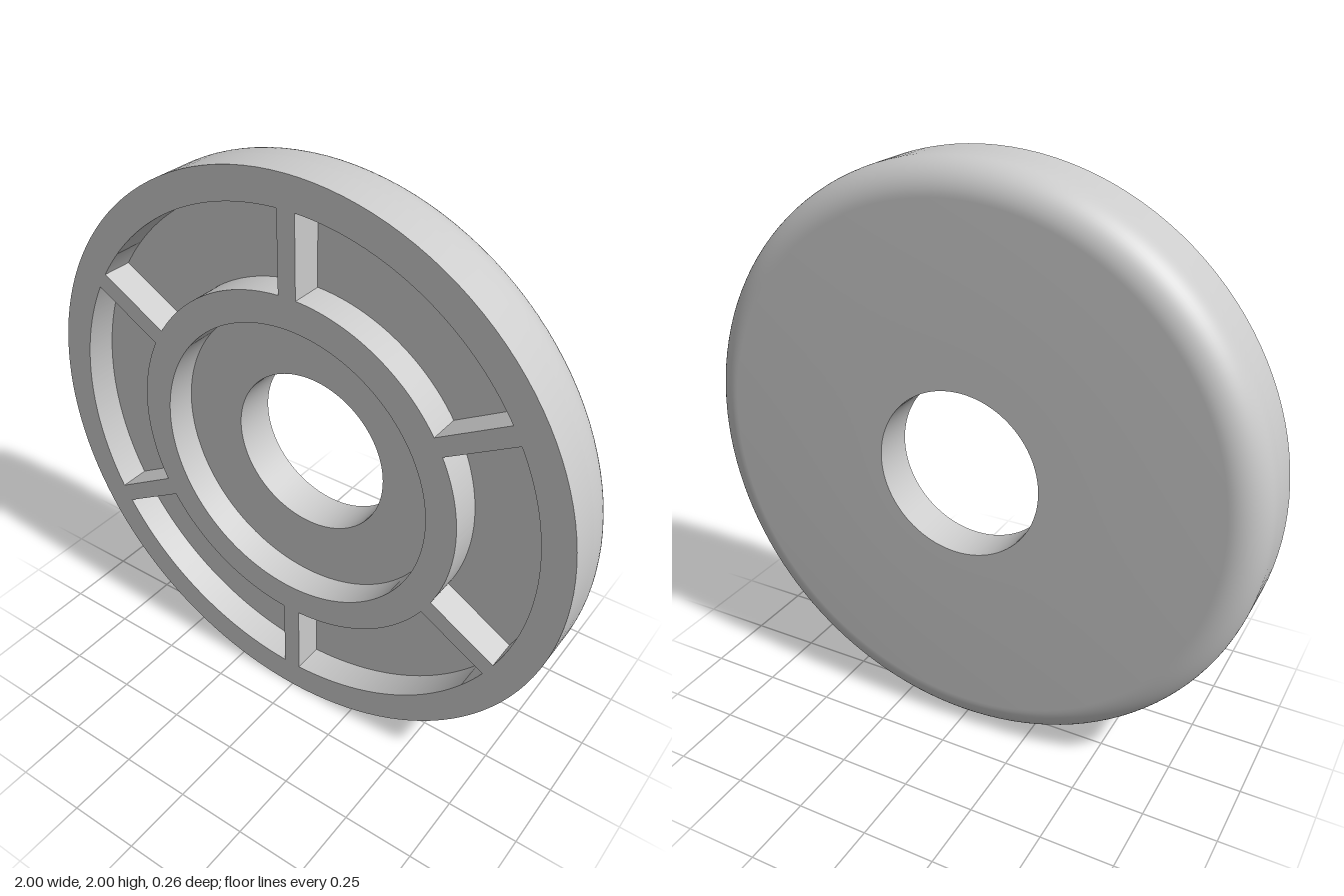
import * as THREE from 'three';
import { toCreasedNormals } from 'three/addons/utils/BufferGeometryUtils.js';

const SEGMENTS = 128;
const BORE = 0.289, HUB_IN = 0.513, HUB_OUT = 0.62, RIM_IN = 0.892, RIM = 1;
const BACK = -0.13, FLOOR = 0.02, FRONT = 0.13, FILLET = 0.11;
const RIB_HALF = 0.032;

const material = new THREE.MeshStandardMaterial({ color: 0xcccccc });

function addPart(group, name, geometry) {
  const mesh = new THREE.Mesh(toCreasedNormals(geometry, Math.PI / 6), material);
  mesh.name = name;
  group.add(mesh);
  return mesh;
}

// Back plate: bore, flat back, rounded outer edge and recess floor
function plateGeometry() {
  const profile = [
    new THREE.Vector2(BORE, FLOOR),
    new THREE.Vector2(BORE, BACK),
  ];
  for (let i = 0; i <= 14; i++) {
    const a = (i / 14) * Math.PI / 2;
    profile.push(new THREE.Vector2(
      RIM - FILLET + FILLET * Math.sin(a),
      BACK + FILLET - FILLET * Math.cos(a)
    ));
  }
  profile.push(new THREE.Vector2(RIM, FLOOR), new THREE.Vector2(BORE, FLOOR));
  return new THREE.LatheGeometry(profile, SEGMENTS).rotateX(Math.PI / 2);
}

// Front frame: rim, hub ring and six ribs left standing between the pockets
function frameGeometry() {
  const shape = new THREE.Shape().absarc(0, 0, RIM, 0, Math.PI * 2, false);
  shape.holes.push(new THREE.Path().absarc(0, 0, HUB_IN, 0, Math.PI * 2, true));

  const outerTrim = Math.asin(RIB_HALF / RIM_IN);
  const innerTrim = Math.asin(RIB_HALF / HUB_OUT);
  for (let i = 0; i < 6; i++) {
    const start = Math.PI / 6 + i * Math.PI / 3;
    const end = start + Math.PI / 3;
    const pocket = new THREE.Path();
    pocket.absarc(0, 0, RIM_IN, start + outerTrim, end - outerTrim, false);
    pocket.absarc(0, 0, HUB_OUT, end - innerTrim, start + innerTrim, true);
    pocket.closePath();
    shape.holes.push(pocket);
  }

  return new THREE.ExtrudeGeometry(shape, {
    depth: FRONT - FLOOR,
    bevelEnabled: false,
    curveSegments: SEGMENTS / 2,
  }).translate(0, 0, FLOOR);
}

export function createModel() {
  const group = new THREE.Group();
  group.name = 'ribbedDisc';
  addPart(group, 'backPlate', plateGeometry()).position.y = RIM;
  addPart(group, 'ribbedFrame', frameGeometry()).position.y = RIM;
  return group;
}
